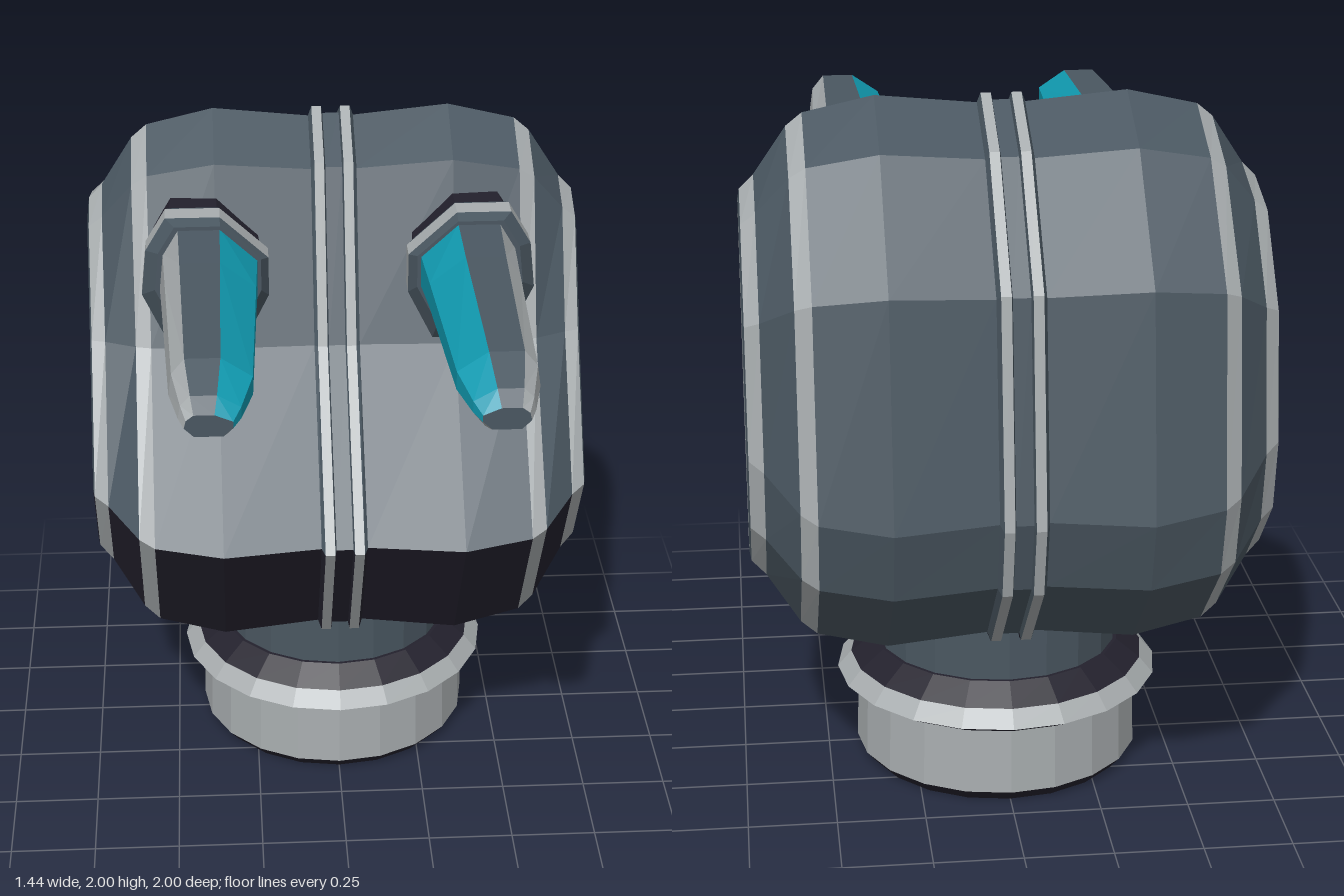
import * as THREE from 'three';

const material = (name, color) => {
  const m = new THREE.MeshStandardMaterial({ color });
  m.name = name;
  return m;
};

// Skin a list of closed cross-sections with flat faces; paint(i, j) picks the
// material index of each strip, caps are painted with capIndex.
function loft(sections, materials, paint, capIndex, flip = false) {
  const buckets = materials.map(() => []);
  const tri = (k, a, b, c) => buckets[k].push(...a, ...(flip ? [...c, ...b] : [...b, ...c]));
  const n = sections[0].length;
  for (let i = 0; i < sections.length - 1; i++) {
    for (let j = 0; j < n; j++) {
      const a = sections[i][j], b = sections[i + 1][j];
      const c = sections[i + 1][(j + 1) % n], d = sections[i][(j + 1) % n];
      tri(paint(i, j), a, b, c);
      tri(paint(i, j), a, c, d);
    }
  }
  const centre = (s) => [0, 1, 2].map((k) => s.reduce((t, p) => t + p[k], 0) / n);
  const first = sections[0], last = sections[sections.length - 1];
  for (let j = 0; j < n; j++) {
    const q = (j + 1) % n;
    tri(capIndex, centre(first), first[j], first[q]);
    tri(capIndex, centre(last), last[q], last[j]);
  }
  const geometry = new THREE.BufferGeometry();
  geometry.setAttribute('position', new THREE.Float32BufferAttribute(buckets.flat(), 3));
  let start = 0;
  buckets.forEach((b, k) => {
    if (b.length) geometry.addGroup(start, b.length / 3, k);
    start += b.length / 3;
  });
  geometry.computeVertexNormals();
  return new THREE.Mesh(geometry, materials);
}

export function createModel() {
  const model = new THREE.Group();
  const SLATE = 0, LIGHT = 1, DARK = 2, TEAL = 3;
  const materials = [
    material('slate', 0x4a5761), material('light grey', 0xa8adaf),
    material('dark navy', 0x23212d), material('teal', 0x119ab0),
  ];

  // Head: side outlines [z, y] of the full shell and of the side caps
  const outer = [[-0.385, 2], [-0.61, 1.89], [-0.9, 1.58], [-1, 0.965], [-0.945, 0.76], [-0.665, 0.5],
    [-0.245, 0.4], [0.165, 0.54], [0.435, 0.955], [0, 1.405], [-0.19, 1.9]];
  const inner = [[-0.34, 1.66], [-0.5, 1.625], [-0.65, 1.42], [-0.7, 1.15], [-0.67, 0.945], [-0.555, 0.815],
    [-0.27, 0.73], [-0.03, 0.84], [0.095, 1.045], [-0.11, 1.4], [-0.26, 1.63]];
  // [x, blend from outer to inner outline, colour of the strip that follows]
  const half = [[0.024, 0.06, SLATE], [0.028, 0, LIGHT], [0.056, 0, SLATE], [0.066, 0.08, SLATE],
    [0.345, 0, SLATE], [0.54, 0.13, LIGHT], [0.585, 0.24, SLATE], [0.675, 0.64, LIGHT],
    [0.715, 0.76, SLATE], [0.72, 0.84, LIGHT], [0.715, 1, DARK], [0.7, 1.02, DARK]];
  const stations = [
    ...half.map(([x, t], i) => [-x, t, i ? half[i - 1][2] : SLATE]).reverse(),
    ...half,
  ];
  const sections = stations.map(([x, t]) => outer.map(([z, y], j) => [
    x, y + (inner[j][1] - y) * t, z + (inner[j][0] - z) * t,
  ]));
  const head = loft(sections, materials, (i, j) => {
    const colour = stations[i][2];
    const underside = j >= 5 && j <= 7;
    return colour === SLATE && underside ? DARK : colour;
  }, DARK);
  head.name = 'head';
  model.add(head);

  // Horns: unit section [outward, up]
  const section = [[0.6, 1], [-0.25, 1], [-1, 0.35], [-1, -0.25], [-0.6, -1], [0.6, -1], [1, -0.2], [0.92, 0.5]];
  const hornPaint = [SLATE, TEAL, TEAL, LIGHT, DARK, LIGHT, LIGHT, LIGHT];
  // [z, centre x, half width, bottom y, top y]
  const socketRings = [[-0.25, 0.38, 0.15, 1.5, 1.8], [-0.065, 0.38, 0.16, 1.48, 1.82],
    [0, 0.378, 0.18, 1.46, 1.845], [0.068, 0.378, 0.18, 1.46, 1.845], [0.11, 0.37, 0.15, 1.52, 1.835]];
  const hornRings = [[0.1, 0.368, 0.138, 1.53, 1.825], [0.3, 0.368, 0.13, 1.575, 1.81],
    [0.85, 0.368, 0.108, 1.622, 1.79], [0.96, 0.372, 0.08, 1.635, 1.74], [1, 0.375, 0.062, 1.645, 1.705]];
  const socketPaint = [DARK, SLATE, LIGHT, SLATE];
  for (const side of [1, -1]) {
    const rings = (list) => list.map(([z, cx, w, y0, y1]) => section.map(([u, v]) => [
      side * (cx + u * w), (y0 + y1) / 2 + v * (y1 - y0) / 2, z,
    ]));
    const label = side > 0 ? 'left' : 'right';
    const socket = loft(rings(socketRings), materials, (i) => socketPaint[i], SLATE, side > 0);
    socket.name = label + 'HornSocket';
    const horn = loft(rings(hornRings), materials, (i, j) => hornPaint[j], SLATE, side > 0);
    horn.name = label + 'Horn';
    model.add(socket, horn);
  }

  // Neck and base: stacked rings [name, bottom radius, top radius, bottom y, top y, colour]
  const stack = [
    ['baseFoot', 0.385, 0.415, 0, 0.035, DARK],
    ['baseDrum', 0.415, 0.41, 0.035, 0.228, LIGHT],
    ['collarUnderside', 0.41, 0.47, 0.228, 0.262, DARK],
    ['collarRim', 0.47, 0.43, 0.262, 0.308, LIGHT],
    ['collarTop', 0.43, 0.36, 0.308, 0.36, DARK],
    ['neck', 0.35, 0.35, 0.35, 0.65, SLATE],
  ];
  for (const [name, r0, r1, y0, y1, colour] of stack) {
    const geometry = new THREE.CylinderGeometry(r1, r0, y1 - y0, 20).toNonIndexed();
    geometry.computeVertexNormals();
    const mesh = new THREE.Mesh(geometry, materials[colour]);
    mesh.name = name;
    mesh.position.set(0, (y0 + y1) / 2, -0.278);
    model.add(mesh);
  }
  return model;
}
